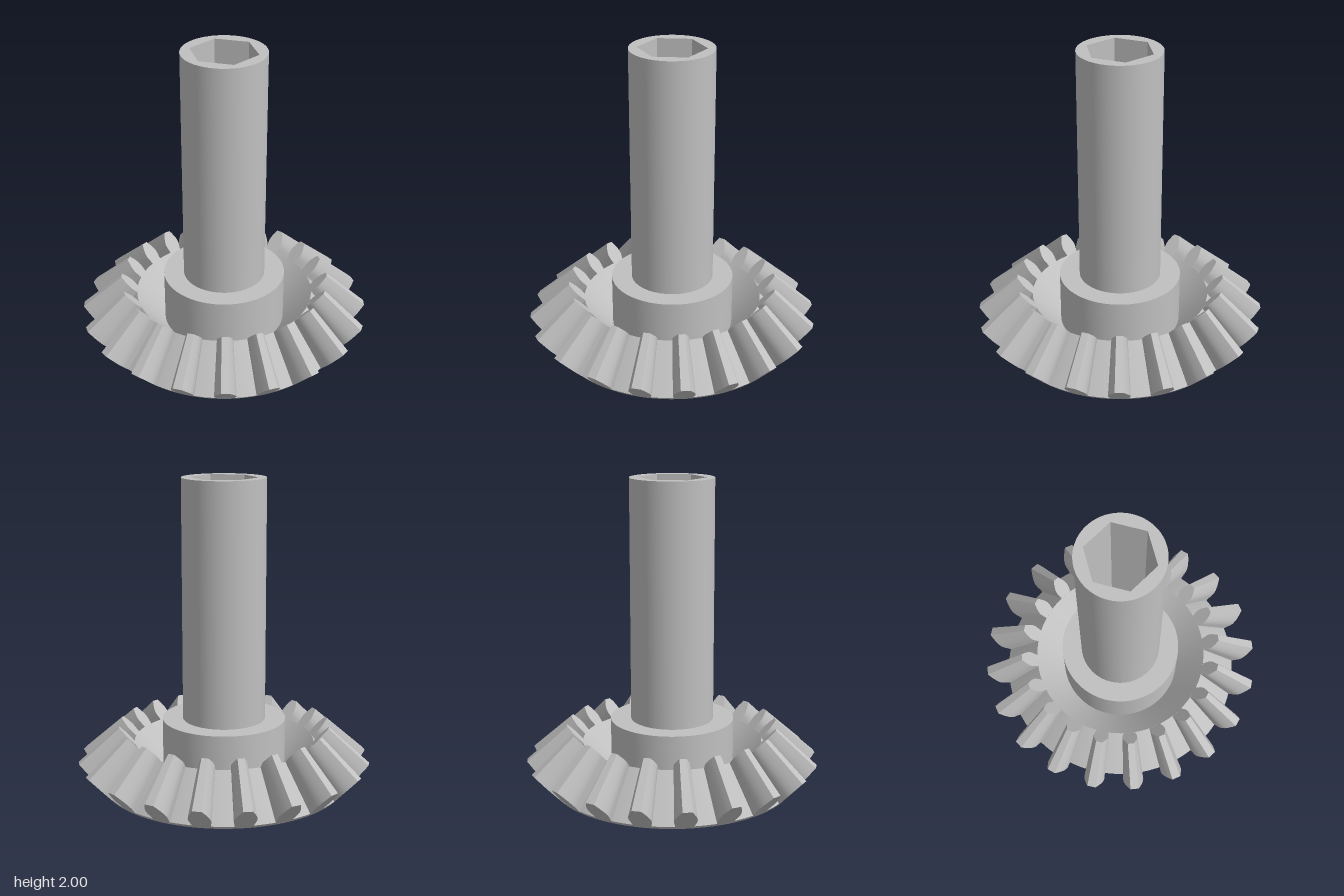
import * as THREE from 'three';
import { toCreasedNormals } from 'three/addons/utils/BufferGeometryUtils.js';

const TEETH = 20;
const APEX = 1.0;       // height of the pitch cone apex
const INNER = 0.722;    // inner tooth end, scaled towards the apex
const ROOT = [0.81, 0.02], TIP = [0.95, 0.17];

// One tooth facing +z: [position from root to tip, half width]
function toothGeometry() {
  const stations = [[-0.04, 0.056], [0.12, 0.061], [0.28, 0.068], [0.42, 0.07],
    [0.57, 0.065], [0.72, 0.055], [0.87, 0.042], [1, 0.029]];
  const n = stations.length;
  const at = (t, u, s) => [
    u * s,
    APEX + (ROOT[1] + (TIP[1] - ROOT[1]) * t - APEX) * s,
    (ROOT[0] + (TIP[0] - ROOT[0]) * t) * s,
  ];
  const ring = (s) => [
    ...stations.map(([t, w]) => at(t, w, s)),
    ...[...stations].reverse().map(([t, w]) => at(t, -w, s)),
  ];
  const outer = ring(1), inner = ring(INNER);
  const pos = [];
  const quad = (a, b, c, d) => pos.push(...a, ...b, ...c, ...a, ...c, ...d);
  // flanks and tip land
  for (let i = 0; i < 2 * n - 1; i++) quad(outer[i], inner[i], inner[i + 1], outer[i + 1]);
  // end faces
  for (let i = 0; i < n - 1; i++) {
    const l = 2 * n - 1 - i;
    quad(outer[i], outer[i + 1], outer[l - 1], outer[l]);
    quad(inner[l], inner[l - 1], inner[i + 1], inner[i]);
  }
  const g = new THREE.BufferGeometry();
  g.setAttribute('position', new THREE.Float32BufferAttribute(pos, 3));
  return toCreasedNormals(g, 0.45);
}

export function createModel() {
  const model = new THREE.Group();
  model.name = 'bevelGear';
  const steel = new THREE.MeshStandardMaterial({ color: 0xc0c0c0 });
  steel.name = 'steelGrey';
  const add = (name, geometry, parent = model) => {
    const mesh = new THREE.Mesh(geometry, steel);
    mesh.name = name;
    parent.add(mesh);
    return mesh;
  };

  // Shaft with a hexagonal bore through its whole length
  const section = new THREE.Shape().absarc(0, 0, 0.268, 0, Math.PI * 2, false);
  const hex = [];
  for (let i = 0; i < 6; i++) {
    const a = Math.PI / 2 - i * Math.PI / 3;
    hex.push(new THREE.Vector2(0.217 * Math.cos(a), 0.217 * Math.sin(a)));
  }
  section.holes.push(new THREE.Path(hex));
  const shaft = new THREE.ExtrudeGeometry(section, { depth: 2, bevelEnabled: false, curveSegments: 64 });
  shaft.rotateX(-Math.PI / 2);
  add('shaft', toCreasedNormals(shaft, 0.4));

  // Base disc, root cone, dished inside and hub collar
  const profile = [[0.268, 0], [0.793, 0], ROOT, [ROOT[0] * INNER, APEX + (ROOT[1] - APEX) * INNER],
    [0.4, 0.094], [0.4, 0.44], [0.268, 0.44]].map(([r, y]) => new THREE.Vector2(r, y));
  add('gearBody', toCreasedNormals(new THREE.LatheGeometry(profile, 100), 0.4));

  // Ring of teeth
  const teeth = new THREE.Group();
  teeth.name = 'teeth';
  model.add(teeth);
  const tooth = toothGeometry();
  for (let i = 0; i < TEETH; i++) {
    add('tooth', tooth, teeth).rotation.y = (i + 0.5) * Math.PI * 2 / TEETH;
  }
  return model;
}
